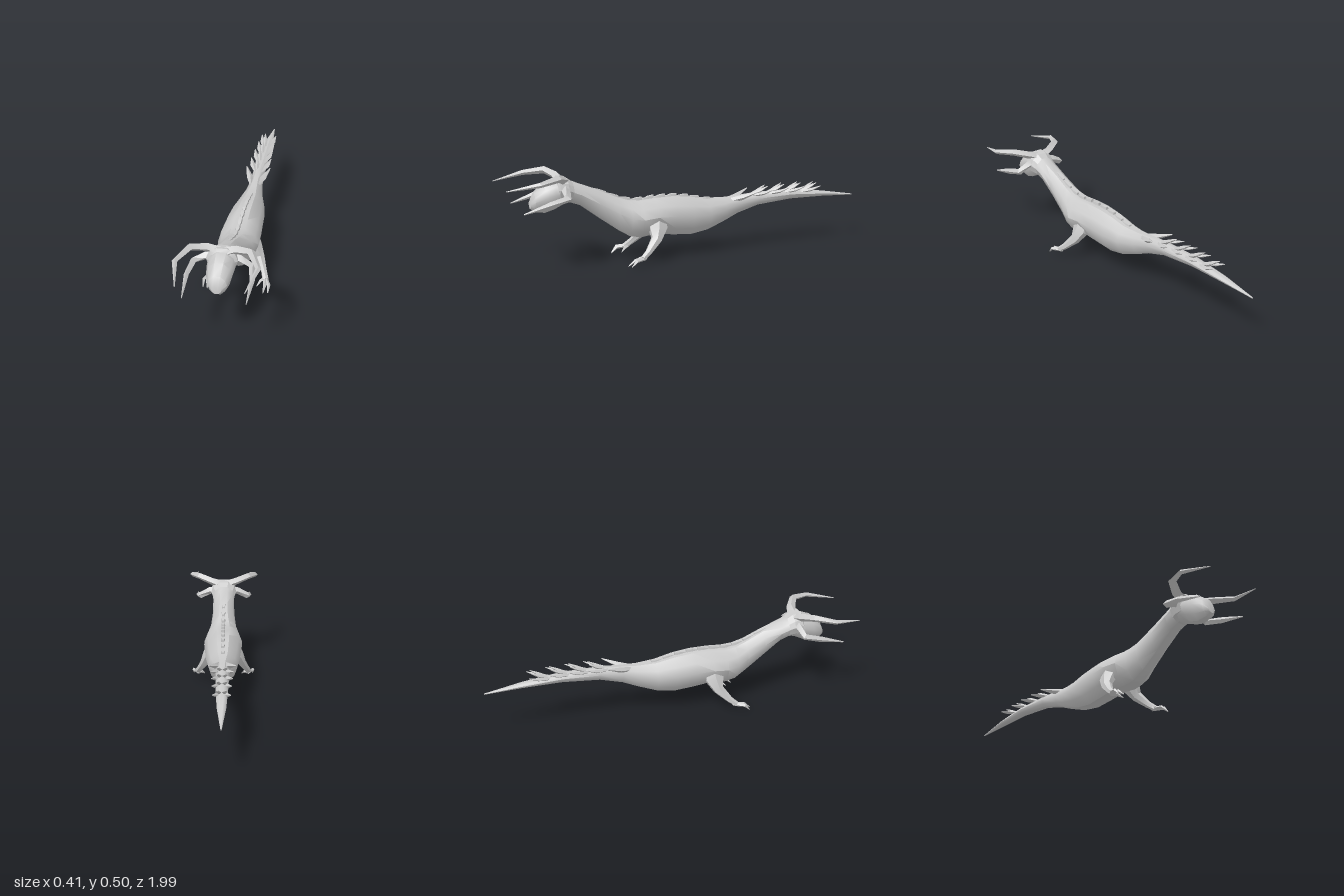
import * as THREE from 'three';
import { toCreasedNormals } from 'three/addons/utils/BufferGeometryUtils.js';

const material = new THREE.MeshStandardMaterial({ color: 0xcccccc });

// Skin a list of equal-sized rings, capping both ends
function loft(rings, crease) {
  const n = rings[0].length, index = [];
  for (let i = 0; i < rings.length - 1; i++) {
    for (let j = 0; j < n; j++) {
      const k = (j + 1) % n, a = i * n + j, b = i * n + k;
      index.push(a, b, b + n, a, b + n, a + n);
    }
  }
  const last = (rings.length - 1) * n;
  for (let j = 1; j < n - 1; j++) {
    index.push(0, j + 1, j, last, last + j, last + j + 1);
  }
  const geometry = new THREE.BufferGeometry();
  geometry.setAttribute('position', new THREE.Float32BufferAttribute(rings.flat(2), 3));
  geometry.setIndex(index);
  return toCreasedNormals(geometry, crease);
}

// Tapered limb through [x, y, z, halfWidth, halfHeight] stations
function limb(stations, side = 1, sides = 4, ref = new THREE.Vector3(0, 1, 0)) {
  const pts = stations.map(s => new THREE.Vector3(s[0] * side, s[1], s[2]));
  const rings = stations.map((s, i) => {
    const t = pts[Math.min(i + 1, pts.length - 1)].clone().sub(pts[Math.max(i - 1, 0)]).normalize();
    const u = new THREE.Vector3().crossVectors(ref, t).normalize();
    const v = new THREE.Vector3().crossVectors(t, u);
    return Array.from({ length: sides }, (_, j) => {
      const a = j / sides * Math.PI * 2;
      return pts[i].clone()
        .addScaledVector(u, Math.cos(a) * s[3])
        .addScaledVector(v, Math.sin(a) * (s[4] ?? s[3])).toArray();
    });
  });
  return loft(rings, 0.5);
}

// Ten-cornered cross-section of the trunk and head
const HALF = [[0.34, -1], [0.78, -0.6], [1, 0.08], [0.82, 0.6], [0.34, 1]];
const OUTLINE = [...HALF, ...HALF.map(([x, y]) => [-x, y]).reverse()];
const section = ([z, w, y0, y1]) => OUTLINE.map(([x, y]) =>
  [x * w, (y0 + y1) / 2 + y * (y1 - y0) / 2, z]);

// Trunk stations: z, half width, bottom, top
const TRUNK = [
  [-0.995, 0.003, 0.243, 0.249], [-0.8, 0.022, 0.252, 0.28], [-0.6, 0.03, 0.253, 0.302],
  [-0.4, 0.034, 0.235, 0.302], [-0.28, 0.036, 0.2, 0.292], [-0.2, 0.05, 0.165, 0.287],
  [-0.1, 0.076, 0.128, 0.29], [0, 0.09, 0.112, 0.31], [0.1, 0.097, 0.12, 0.32],
  [0.2, 0.104, 0.132, 0.318], [0.28, 0.104, 0.122, 0.312], [0.34, 0.092, 0.132, 0.318],
  [0.4, 0.073, 0.168, 0.338], [0.5, 0.062, 0.24, 0.383], [0.6, 0.06, 0.315, 0.422],
  [0.67, 0.066, 0.34, 0.452],
];
// Height of the back at a given z
function backY(z) {
  const i = Math.max(1, TRUNK.findIndex(s => s[0] >= z));
  const a = TRUNK[i - 1], b = TRUNK[i];
  return THREE.MathUtils.mapLinear(z, a[0], b[0], a[3], b[3]);
}

export function createModel() {
  const model = new THREE.Group();
  const add = (name, geometry, parent = model) => {
    const mesh = new THREE.Mesh(geometry, material);
    mesh.name = name;
    parent.add(mesh);
  };
  const group = name => {
    const g = new THREE.Group();
    g.name = name;
    model.add(g);
    return g;
  };

  add('trunk', loft(TRUNK.map(section), 0.7));

  // Bulbous, downward-tapering head behind a flared collar
  add('head', loft([
    [0.64, 0.058, 0.34, 0.44], [0.69, 0.068, 0.325, 0.455], [0.73, 0.067, 0.305, 0.45],
    [0.78, 0.061, 0.29, 0.432], [0.83, 0.046, 0.297, 0.392], [0.85, 0.024, 0.312, 0.35],
  ].map(section), 0.7));
  add('collar', loft([
    [0.63, 0.06, 0.33, 0.433], [0.665, 0.074, 0.335, 0.458], [0.71, 0.076, 0.335, 0.466],
    [0.72, 0.06, 0.345, 0.45],
  ].map(section), 0.4));

  // Flat-backed scutes along the spine, rising toward the rear
  const spine = group('spineScutes');
  const scute = (z, length, w, h) => {
    const ring = (zz, ww, y0, y1) => [[ww, y0, zz], [ww * 0.6, y1, zz], [-ww * 0.6, y1, zz], [-ww, y0, zz]];
    const end = z + length, mid = z + length * 0.5;
    return loft([
      ring(z, w * 0.8, backY(z) - 0.015, backY(z) + h),
      ring(mid, w, backY(mid) - 0.015, backY(mid) + h * 0.8),
      ring(end, w * 0.5, backY(end) - 0.015, backY(end) + 0.002),
    ], 0.3);
  };
  for (let i = 0; i < 10; i++) {
    const z = -0.12 + i * 0.064;
    add('spineScute', scute(z, 0.062, 0.014, 0.008 + 0.008 * Math.sin(i / 9 * Math.PI)), spine);
  }

  for (const side of [1, -1]) {
    const label = side > 0 ? 'left' : 'right';

    // Horns sweep out and then forward
    add(label + 'UpperHorn', limb([
      [0.015, 0.44, 0.69, 0.035, 0.024], [0.07, 0.458, 0.695, 0.024, 0.021],
      [0.142, 0.478, 0.738, 0.02, 0.019], [0.19, 0.463, 0.84, 0.013, 0.013],
      [0.155, 0.436, 0.998, 0.002, 0.002],
    ], side));
    add(label + 'LowerHorn', limb([
      [0.045, 0.405, 0.685, 0.025, 0.025], [0.08, 0.405, 0.685, 0.022, 0.02],
      [0.138, 0.375, 0.69, 0.018, 0.018], [0.153, 0.355, 0.78, 0.012, 0.016],
      [0.147, 0.317, 0.914, 0.002, 0.003],
    ], side));

    // Splayed leg with three hooked toes
    const leg = group(label + 'Leg');
    const forward = new THREE.Vector3(0, 0, 1);
    add('shin', limb([
      [0.055, 0.225, 0.2, 0.035, 0.05], [0.078, 0.175, 0.205, 0.033, 0.055],
      [0.104, 0.12, 0.222, 0.023, 0.03], [0.132, 0.065, 0.275, 0.016, 0.018],
      [0.145, 0.038, 0.31, 0.017, 0.014],
    ], side, 6, forward), leg);
    const toes = [[0.168, 0.35, 0.167, 0.378, 0.003], [0.148, 0.352, 0.143, 0.388, 0.004],
      [0.12, 0.318, 0.104, 0.342, 0.013]];
    for (const [x1, z1, x2, z2, y2] of toes) {
      add('toe', limb([
        [0.142, 0.038, 0.295, 0.012], [x1, 0.033, z1, 0.009], [x2, y2, z2, 0.002],
      ], side), leg);
    }

    // Broad flank fin where the tail begins
    const plates = group(label + 'TailPlates');
    add('tailFin', limb([
      [0.02, 0.272, -0.24, 0.008, 0.015], [0.036, 0.288, -0.3, 0.018, 0.014],
      [0.066, 0.315, -0.37, 0.003, 0.003],
    ], side), plates);

    // Overlapping tail plates: a splayed row and a steeper row near the midline
    for (let i = 0; i < 4; i++) {
      const z = -0.355 - i * 0.1, x = 0.056 - i * 0.005, y = backY(z);
      add('outerPlate', limb([
        [0.014, y - 0.012, z, 0.005, 0.008], [x * 0.72, y + 0.002, z - 0.065, 0.015, 0.009],
        [x, y + 0.02, z - 0.115, 0.002, 0.002],
      ], side), plates);
      add('innerPlate', limb([
        [0.008, y - 0.008, z - 0.01, 0.006, 0.006], [0.014, y + 0.014, z - 0.06, 0.012, 0.009],
        [0.02, y + 0.036, z - 0.1, 0.002, 0.002],
      ], side), plates);
    }
  }
  return model;
}
